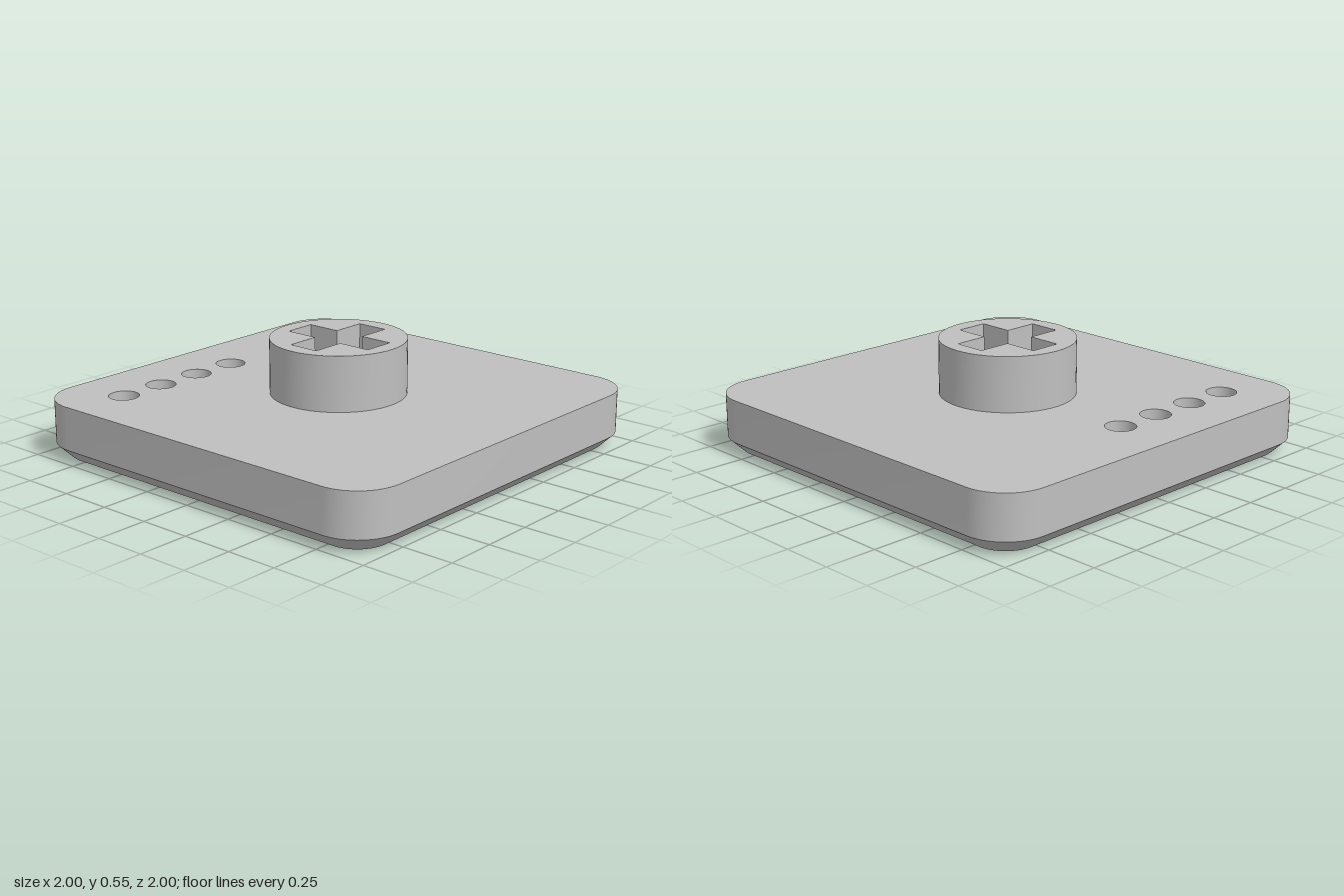
import * as THREE from 'three';
import { toCreasedNormals } from 'three/addons/utils/BufferGeometryUtils.js';

const BEVEL_TOP = 0.07, PLATE_TOP = 0.28, BOSS_TOP = 0.545;
const PIT_FLOOR = 0.1, BEVEL = 0.073, CORNER = 0.22;

// Counter-clockwise outlines in plan; plan y points to the back (-z)
function circle(r, cx = 0, cy = 0, n = 64) {
  return Array.from({ length: n }, (_, i) => {
    const a = (i / n) * Math.PI * 2;
    return new THREE.Vector2(cx + r * Math.cos(a), cy + r * Math.sin(a));
  });
}

function roundedSquare(half, r, n = 16) {
  const pts = [];
  [[1, 1], [-1, 1], [-1, -1], [1, -1]].forEach(([sx, sy], q) => {
    for (let i = 0; i <= n; i++) {
      const a = (q + i / n) * Math.PI / 2;
      pts.push(new THREE.Vector2(sx * (half - r) + r * Math.cos(a), sy * (half - r) + r * Math.sin(a)));
    }
  });
  return pts;
}

function cross(l, w) {
  return [[l, -w], [l, w], [w, w], [w, l], [-w, l], [-w, w], [-l, w], [-l, -w],
    [-w, -w], [-w, -l], [w, -l], [w, -w]].map(([x, y]) => new THREE.Vector2(x, y));
}

// Flat horizontal face with optional openings
function face(outline, y, holes = [], down = false) {
  const shape = new THREE.Shape(outline);
  holes.forEach((h) => shape.holes.push(new THREE.Path(h)));
  const geo = new THREE.ShapeGeometry(shape);
  if (down) geo.scale(1, -1, 1).rotateX(Math.PI / 2);
  else geo.rotateX(-Math.PI / 2);
  if (down) {
    // mirrored plan: restore the winding so the face looks downward
    const idx = geo.index.array;
    for (let i = 0; i < idx.length; i += 3) [idx[i], idx[i + 1]] = [idx[i + 1], idx[i]];
    geo.computeVertexNormals();
    const n = geo.attributes.normal;
    if (n.getY(0) > 0) {
      for (let i = 0; i < idx.length; i += 3) [idx[i], idx[i + 1]] = [idx[i + 1], idx[i]];
      geo.computeVertexNormals();
    }
  }
  return geo.translate(0, y, 0);
}

// Side wall between two matching outlines; a reversed outline faces inward
function wall(lower, y0, upper, y1) {
  const pos = [], n = lower.length;
  const put = (p, y) => pos.push(p.x, y, -p.y);
  for (let i = 0; i < n; i++) {
    const j = (i + 1) % n;
    put(lower[i], y0); put(lower[j], y0); put(upper[j], y1);
    put(lower[i], y0); put(upper[j], y1); put(upper[i], y1);
  }
  const geo = new THREE.BufferGeometry();
  geo.setAttribute('position', new THREE.Float32BufferAttribute(pos, 3));
  return toCreasedNormals(geo, 0.5);
}

export function createModel() {
  const model = new THREE.Group();
  const grey = new THREE.MeshStandardMaterial({ color: 0xbfbfbf });
  grey.name = 'grey';
  const group = (name) => {
    const g = new THREE.Group();
    g.name = name;
    model.add(g);
    return g;
  };
  const add = (parent, name, geo) => {
    const mesh = new THREE.Mesh(geo, grey);
    mesh.name = name;
    parent.add(mesh);
  };

  const outer = roundedSquare(1, CORNER);
  const base = roundedSquare(1 - BEVEL, CORNER - BEVEL);
  const bossRing = circle(0.323);
  const socket = cross(0.243, 0.077);
  const pits = [-0.707, -0.472, -0.236, 0].map((x) => circle(0.072, x, 0.71, 40));

  // Rounded plate with a bevelled underside
  const plate = group('plate');
  add(plate, 'plateTop', face(outer, PLATE_TOP, [bossRing, ...pits]));
  add(plate, 'plateSide', wall(outer, BEVEL_TOP, outer, PLATE_TOP));
  add(plate, 'plateBevel', wall(base, 0, outer, BEVEL_TOP));
  add(plate, 'plateBottom', face(base, 0, [], true));

  // Row of round blind holes along the back edge
  const holes = group('holeRow');
  pits.forEach((ring) => {
    const inward = [...ring].reverse();
    add(holes, 'holeWall', wall(inward, PIT_FLOOR, inward, PLATE_TOP));
    add(holes, 'holeFloor', face(ring, PIT_FLOOR));
  });

  // Round boss with a cross-shaped socket
  const boss = group('boss');
  add(boss, 'bossSide', wall(bossRing, PLATE_TOP, bossRing, BOSS_TOP));
  add(boss, 'bossTop', face(bossRing, BOSS_TOP, [socket]));
  const socketInward = [...socket].reverse();
  add(boss, 'socketWall', wall(socketInward, PLATE_TOP, socketInward, BOSS_TOP));
  add(boss, 'socketFloor', face(socket, PLATE_TOP));

  return model;
}
